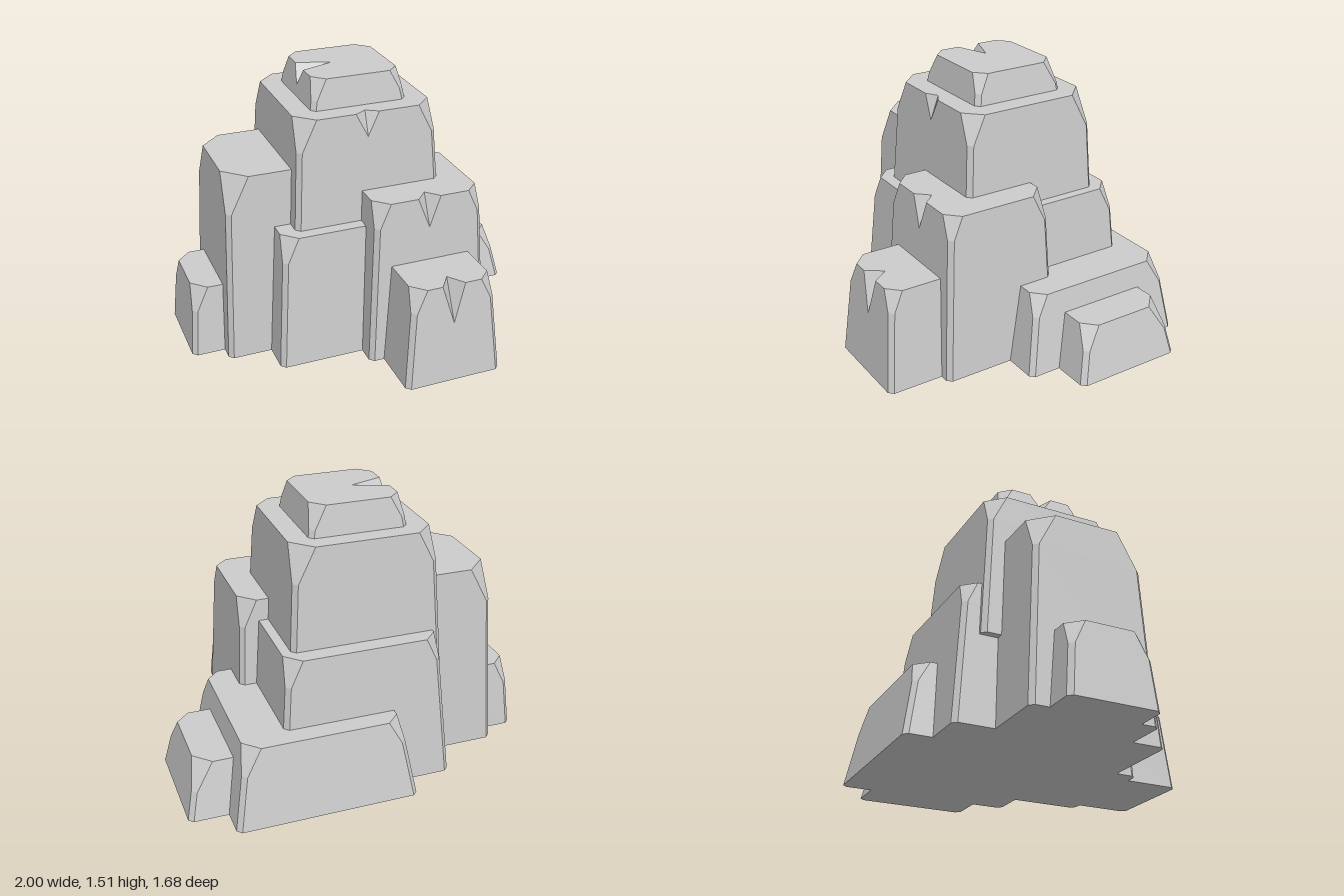
import * as THREE from 'three';

const material = new THREE.MeshStandardMaterial({ color: 0xcccccc, flatShading: true });

const EDGE = 0.025; // narrow bevel down the upright corners
const CHIP_VARIATION = [1, 0.9, 1.1, 0.95]; // front-left, front-right, back-right, back-left
const FRONT = 0, LEFT_END = 3; // sides of a block that can carry a notch

// Rock block tapering from its foot rectangle, with broken top corners
// and an optional wedge-shaped notch in one top edge
function blockGeometry(y0, y1, [left, right, back, front], taper, chip, notch) {
  // Upright columns around the outline, two per corner plus three per notch
  const columns = [];
  for (let side = 0; side < 4; side++) {
    const corner = (k, fromEnd) => {
      const size = chip * CHIP_VARIATION[k % 4];
      columns.push({ side, fromEnd, chip: size, drop: size * 1.7 });
    };
    corner(side, false);
    if (notch && notch.side === side) {
      for (const k of [-1, 0, 1]) {
        columns.push({ side, shift: k * 0.065, depth: k ? 0 : notch.depth, drop: notch.drop });
      }
    }
    corner(side + 1, true);
  }

  // Point of a column at a height, following the taper
  const place = (c, y, atTop) => {
    const t = (taper * (y - y0)) / (y1 - y0);
    const [x0, x1, z0, z1] = [left + t, right - t, back + t, front - t];
    const corners = [[x0, z1], [x1, z1], [x1, z0], [x0, z0]].map(([x, z]) => new THREE.Vector3(x, y, z));
    const a = corners[c.side], b = corners[(c.side + 1) % 4];
    const length = a.distanceTo(b);
    const along = b.clone().sub(a).normalize();
    const cut = atTop ? c.chip : EDGE;
    const s = c.shift !== undefined ? length / 2 + c.shift : c.fromEnd ? length - cut : cut;
    const p = a.clone().addScaledVector(along, s);
    if (atTop && c.depth) p.add(new THREE.Vector3(along.z, 0, -along.x).multiplyScalar(c.depth));
    return p;
  };
  const rings = [
    columns.map((c) => place(c, y0, false)),
    columns.map((c) => place(c, y1 - c.drop, false)),
    columns.map((c) => place(c, y1, true)),
  ];

  // Sides, ring to ring
  const points = [];
  const n = columns.length;
  for (let r = 0; r < 2; r++) {
    for (let i = 0; i < n; i++) {
      const j = (i + 1) % n;
      const a = rings[r][i], b = rings[r][j], c = rings[r + 1][j], d = rings[r + 1][i];
      if (columns[i].depth) points.push(a, b, c, a, c, d);
      else points.push(a, b, d, b, c, d);
    }
  }
  // Top and underside caps
  for (const [ring, up] of [[rings[2], true], [rings[0], false]]) {
    const outline = ring.map((p) => new THREE.Vector2(p.x, -p.z));
    for (const [i, j, k] of THREE.ShapeUtils.triangulateShape(outline, [])) {
      points.push(ring[i], ring[up ? j : k], ring[up ? k : j]);
    }
  }
  const geometry = new THREE.BufferGeometry().setFromPoints(points);
  geometry.computeVertexNormals();
  return geometry;
}

export function createModel() {
  const group = new THREE.Group();
  group.name = 'rockFormation';
  const addBlock = (name, ...shape) => {
    const mesh = new THREE.Mesh(blockGeometry(...shape), material);
    mesh.name = name;
    group.add(mesh);
  };

  // Central stack
  addBlock('peak', 1.33, 1.51, [-0.29, 0.25, -0.4, 0.14], 0.03, 0.065, { side: LEFT_END, depth: 0.18, drop: 0.1 });
  addBlock('tower', 0.5, 1.35, [-0.45, 0.41, -0.55, 0.3], 0.05, 0.1, { side: FRONT, depth: 0.04, drop: 0.13 });

  // Left and front rocks
  addBlock('leftTallRock', 0, 1.06, [-0.82, -0.2, -0.47, 0.22], 0.05, 0.12);
  addBlock('leftStep', 0, 0.4, [-1, -0.6, -0.37, 0.12], 0.035, 0.08);
  addBlock('frontLeftRock', 0, 0.75, [-0.58, 0.05, -0.2, 0.41], 0.055, 0.08);
  addBlock('frontTallRock', 0, 0.92, [-0.11, 0.59, -0.16, 0.53], 0.05, 0.08, { side: FRONT, depth: 0.07, drop: 0.17 });
  addBlock('frontStep', 0, 0.56, [-0.03, 0.52, 0.2, 0.84], 0.05, 0.075, { side: FRONT, depth: 0.09, drop: 0.22 });

  // Back and right ledges
  addBlock('backLedge', 0, 0.8, [-0.45, 0.51, -0.69, 0.3], 0.065, 0.075);
  addBlock('backStep', 0, 0.43, [-0.2, 0.79, -0.84, 0.14], 0.075, 0.075);
  addBlock('rightStep', 0, 0.3, [0.55, 1, -0.67, -0.04], 0.065, 0.08);

  return group;
}
